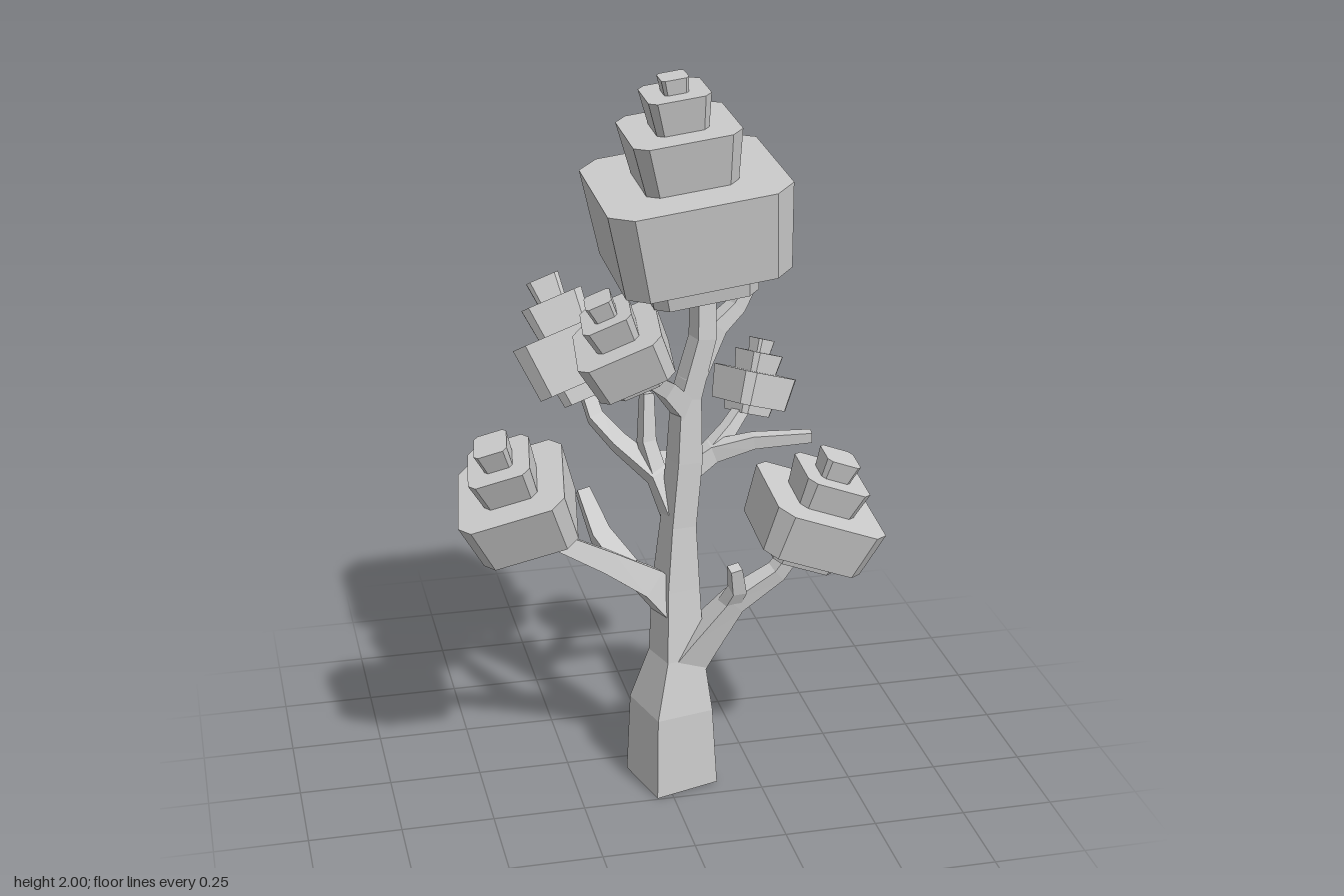
import * as THREE from 'three';

const material = new THREE.MeshStandardMaterial({ color: 0xcccccc, flatShading: true });
const SQUARE = [[1, 1], [-1, 1], [-1, -1], [1, -1]];
const C = 0.76; // where the cut corners of a foliage block start
const CUT_SQUARE = [[1, C], [C, 1], [-C, 1], [-1, C], [-1, -C], [-C, -1], [C, -1], [1, -C]];

// Sweeps a cross-section through points [x, y, z, halfWidth], carrying its orientation along.
function loft(points, section, ref) {
  const centres = points.map(p => new THREE.Vector3(p[0], p[1], p[2]));
  const u = ref.clone();
  const rings = centres.map((c, i) => {
    const ahead = centres[Math.min(i + 1, centres.length - 1)];
    const behind = centres[Math.max(i - 1, 0)];
    const d = ahead.clone().sub(behind).normalize();
    u.addScaledVector(d, -u.dot(d)).normalize();
    const v = d.clone().cross(u);
    return section.map(([a, b]) => c.clone()
      .addScaledVector(u, a * points[i][3])
      .addScaledVector(v, b * points[i][3]));
  });
  const n = section.length;
  const out = [];
  const tri = (...corners) => corners.forEach(p => out.push(p.x, p.y, p.z));
  for (let i = 0; i < rings.length - 1; i++) {
    for (let k = 0; k < n; k++) {
      const m = (k + 1) % n;
      const [a, b, c, d] = [rings[i][k], rings[i][m], rings[i + 1][m], rings[i + 1][k]];
      tri(a, b, c);
      tri(a, c, d);
    }
  }
  const first = rings[0], last = rings[rings.length - 1];
  for (let k = 1; k < n - 1; k++) {
    tri(first[0], first[k + 1], first[k]);
    tri(last[0], last[k], last[k + 1]);
  }
  const g = new THREE.BufferGeometry();
  g.setAttribute('position', new THREE.Float32BufferAttribute(out, 3));
  g.computeVertexNormals();
  return g;
}

function limb(name, points, ref = new THREE.Vector3(0.3, 0.1, 1)) {
  const mesh = new THREE.Mesh(loft(points, SQUARE, ref), material);
  mesh.name = name;
  return mesh;
}

// Tiers: [bottom, top, bottomWidth, topWidth], as fractions of clump height and width
const CROWN_TIERS = [
  [0, 0.16, 0.58, 0.62], [0.12, 0.53, 0.91, 1], [0.52, 0.77, 0.5, 0.59],
  [0.76, 0.93, 0.28, 0.34], [0.92, 1, 0.13, 0.15],
];
const CLUMP_TIERS = [
  [0, 0.16, 0.55, 0.6], [0.12, 0.56, 0.9, 1], [0.55, 0.82, 0.5, 0.58], [0.81, 1, 0.26, 0.31],
];

// A stack of cut-cornered blocks leaning from base to tip
function foliage(name, base, tip, width, yaw, tiers = CLUMP_TIERS) {
  const group = new THREE.Group();
  group.name = name;
  const axis = new THREE.Vector3(...tip).sub(new THREE.Vector3(...base));
  const h = axis.length();
  const up = new THREE.Vector3(0, 1, 0);
  group.position.set(...base);
  group.quaternion.setFromUnitVectors(up, axis.normalize())
    .multiply(new THREE.Quaternion().setFromAxisAngle(up, yaw));
  tiers.forEach(([y0, y1, w0, w1], i) => {
    const path = [[0, y0 * h, 0, w0 * width / 2], [0, y1 * h, 0, w1 * width / 2]];
    const mesh = new THREE.Mesh(loft(path, CUT_SQUARE, new THREE.Vector3(1, 0, 0)), material);
    mesh.name = 'leafBlock' + (i + 1);
    group.add(mesh);
  });
  return group;
}

export function createModel() {
  const tree = new THREE.Group();
  tree.name = 'tree';

  // Trunk, turned slightly about the vertical
  tree.add(limb('trunk', [
    [0.021, 0, 0.132, 0.093], [0.018, 0.23, 0.135, 0.084], [0.034, 0.38, 0.13, 0.056],
    [0.035, 0.58, 0.115, 0.048], [0.042, 0.76, 0.11, 0.036], [0.06, 0.94, 0.1, 0.036],
    [0.066, 1.12, 0.095, 0.03], [0.11, 1.28, 0.09, 0.027], [0.115, 1.48, 0.075, 0.025],
  ], new THREE.Vector3(0.966, 0, -0.259)));

  // Lower right branch with its twig
  tree.add(limb('lowerRightBranch', [
    [0.03, 0.52, 0.12, 0.045], [-0.04, 0.6, 0.12, 0.04], [-0.16, 0.675, 0.125, 0.03],
    [-0.32, 0.765, 0.13, 0.022], [-0.38, 0.83, 0.145, 0.02],
  ]));
  tree.add(limb('lowerRightTwig', [
    [-0.1, 0.64, 0.12, 0.03], [-0.155, 0.71, 0.03, 0.026], [-0.185, 0.805, -0.06, 0.018],
  ]));

  // Lower left branch with its twig
  tree.add(limb('lowerLeftBranch', [
    [0.04, 0.34, 0.13, 0.05], [0.1, 0.43, 0.15, 0.04], [0.18, 0.545, 0.175, 0.028],
    [0.3, 0.62, 0.175, 0.022], [0.36, 0.7, 0.175, 0.02],
  ]));
  tree.add(limb('lowerLeftTwig', [
    [0.16, 0.52, 0.17, 0.022], [0.185, 0.59, 0.2, 0.02], [0.172, 0.665, 0.22, 0.016],
  ]));

  // Rear branch with an upright twig, and a short stub behind the trunk
  tree.add(limb('rearBranch', [
    [0.04, 0.77, 0.1, 0.03], [0, 0.88, 0.05, 0.027], [-0.09, 0.95, -0.03, 0.022],
    [-0.14, 1.0, -0.1, 0.02], [-0.16, 1.08, -0.16, 0.018],
  ]));
  tree.add(limb('rearTwig', [
    [0.005, 0.85, 0.06, 0.022], [-0.025, 0.97, 0.02, 0.02], [-0.02, 1.1, 0, 0.015],
  ]));
  tree.add(limb('rearStub', [
    [0.05, 0.82, 0.1, 0.025], [0.05, 0.85, 0, 0.021], [0.05, 0.87, -0.1, 0.018],
  ], new THREE.Vector3(1, 0, 0)));

  // Middle left branch, forking to a bare end and a small clump
  tree.add(limb('middleLeftBranch', [
    [0.05, 0.9, 0.1, 0.03], [0.14, 0.95, 0.085, 0.024],
    [0.25, 0.978, 0.1, 0.018], [0.405, 0.985, 0.12, 0.014],
  ]));
  tree.add(limb('middleLeftFork', [
    [0.13, 0.945, 0.085, 0.022], [0.2, 0.99, 0.03, 0.018], [0.27, 1.04, -0.04, 0.015],
  ]));

  // Upper branches
  tree.add(limb('upperRightBranch', [
    [0.065, 1.08, 0.095, 0.03], [0, 1.16, 0.13, 0.023], [-0.07, 1.22, 0.19, 0.018], [-0.1, 1.28, 0.215, 0.016],
  ]));
  tree.add(limb('upperLeftBranch', [
    [0.075, 1.16, 0.095, 0.028], [0.15, 1.3, 0.07, 0.024], [0.21, 1.345, 0.05, 0.02], [0.272, 1.44, 0.03, 0.015],
  ]));

  // Foliage clumps
  tree.add(foliage('crownFoliage', [0.088, 1.435, 0.115], [0.015, 1.995, 0.145], 0.475, 0, CROWN_TIERS));
  tree.add(foliage('lowerRightFoliage', [-0.35, 0.765, 0.13], [-0.475, 1.075, 0.2], 0.29, -0.2));
  tree.add(foliage('lowerLeftFoliage', [0.355, 0.665, 0.17], [0.465, 0.95, 0.195], 0.32, 0));
  tree.add(foliage('rearFoliage', [-0.14, 1.05, -0.135], [-0.25, 1.35, -0.27], 0.3, -0.1));
  tree.add(foliage('smallLeftFoliage', [0.265, 1.005, -0.03], [0.32, 1.195, -0.085], 0.18, 0.4));
  tree.add(foliage('upperRightFoliage', [-0.085, 1.22, 0.215], [-0.2, 1.46, 0.245], 0.23, -0.15));

  return tree;
}
